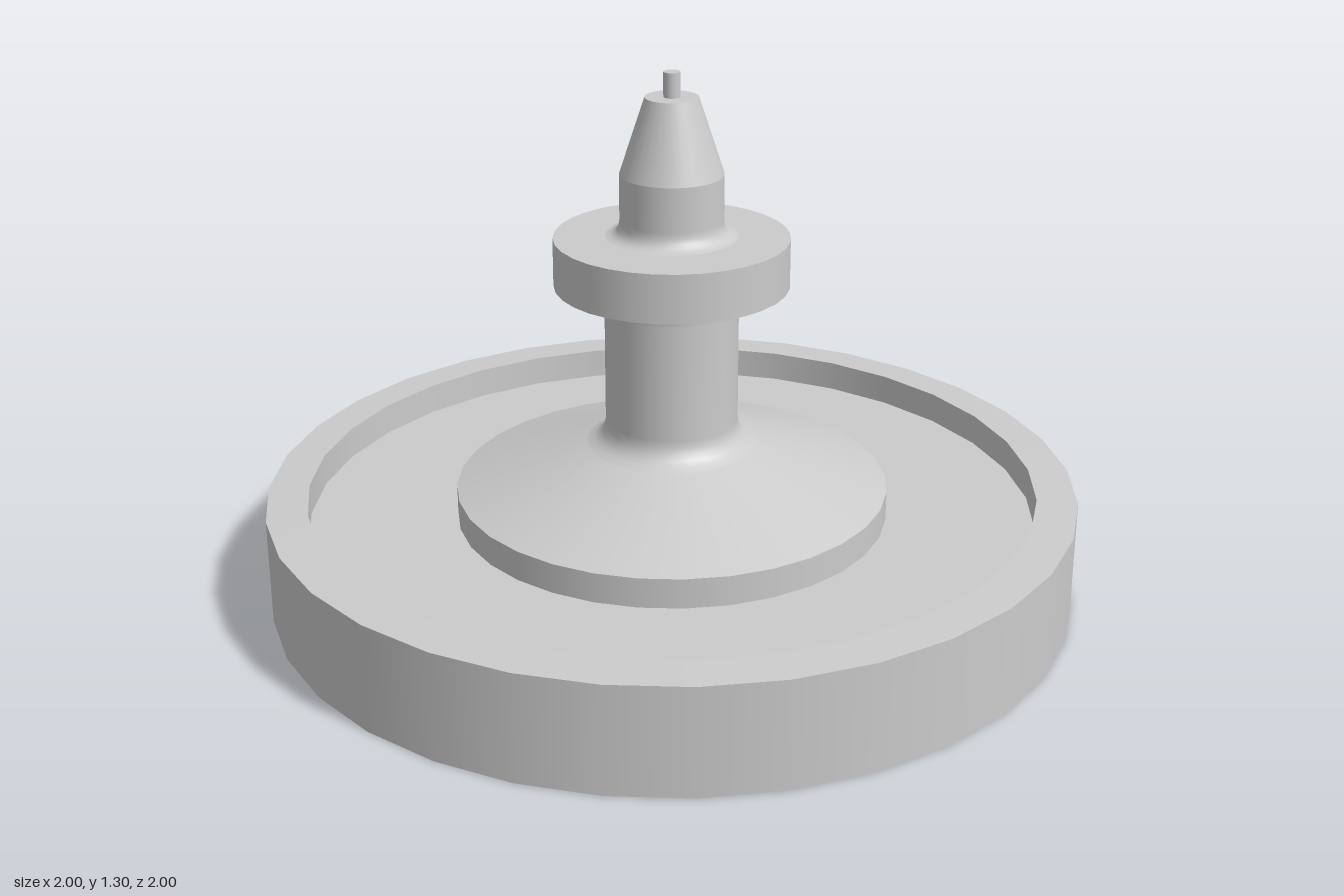
import * as THREE from 'three';

const SEGMENTS = 32;
const material = new THREE.MeshStandardMaterial({ color: 0xcccccc, side: THREE.DoubleSide });

// Quarter-round fillet between two points, bulging toward the control point
function fillet(a, control, b) {
  const v = (p) => new THREE.Vector2(...p);
  return new THREE.QuadraticBezierCurve(v(a), v(control), v(b)).getPoints(5).map((p) => [p.x, p.y]);
}

// A part made of turned strips: smooth within a strip, sharp between strips
function turned(name, ...strips) {
  const part = new THREE.Group();
  part.name = name;
  strips.forEach((strip, i) => {
    const points = strip.map(([r, y]) => new THREE.Vector2(r, y));
    const mesh = new THREE.Mesh(new THREE.LatheGeometry(points, SEGMENTS), material);
    mesh.name = `${name}Surface${i + 1}`;
    part.add(mesh);
  });
  return part;
}

export function createModel() {
  const model = new THREE.Group();
  model.name = 'turnedStand';
  const floorY = 0.192;

  model.add(
    // Outer skirt, slightly sloped lip and inner wall hanging below the floor
    turned('rim',
      [[1, 0], [1, 0.266]],
      [[1, 0.266], [0.9, 0.27]],
      [[0.9, 0.27], [0.9, 0.05]]),

    // Thin plate closing the dish
    turned('floor', [[0.9, floorY], [0, floorY]]),

    // Collar running through the floor, open below
    turned('hubWall', [[0.535, 0.05], [0.535, 0.266]]),

    // Cone flowing into the column, flared again under the flange
    turned('column',
      [[0.535, 0.266], [0.21, 0.377]],
      [
        ...fillet([0.21, 0.377], [0.163, 0.393], [0.163, 0.44]),
        ...fillet([0.163, 0.73], [0.163, 0.775], [0.2, 0.775]),
      ],
      [[0.2, 0.775], [0.2, 0.785]]),

    // Round flange
    turned('flange',
      [[0.16, 0.785], [0.285, 0.785]],
      [[0.285, 0.785], [0.285, 0.905]],
      [[0.285, 0.905], [0, 0.905]]),

    // Tapered nose with a filleted foot
    turned('nose',
      [...fillet([0.16, 0.908], [0.125, 0.912], [0.125, 0.95]), [0.125, 1.06]],
      [[0.125, 1.06], [0.064, 1.245]],
      [[0.064, 1.245], [0, 1.245]]),

    // Small pin on the tip
    turned('pin',
      [[0.02, 1.245], [0.02, 1.305]],
      [[0.02, 1.305], [0, 1.305]]),
  );

  return model;
}
